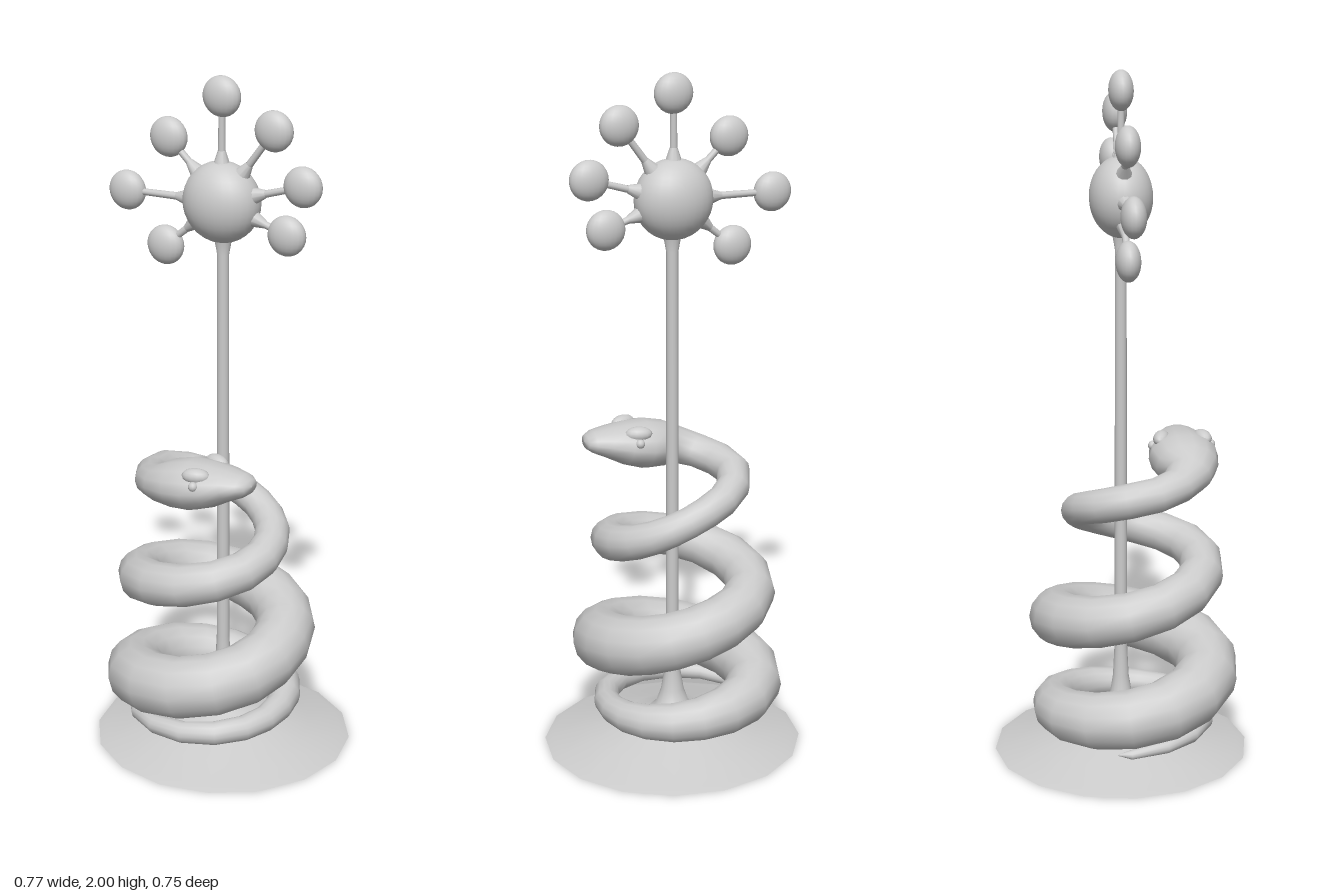
import * as THREE from 'three';

const material = new THREE.MeshStandardMaterial({ color: 0xcccccc, side: THREE.DoubleSide });
const V = (x, y, z) => new THREE.Vector3(x, y, z);

function part(name, geometry, x = 0, y = 0, z = 0) {
  const mesh = new THREE.Mesh(geometry, material);
  mesh.name = name;
  mesh.position.set(x, y, z);
  return mesh;
}

// Skin over oval rings; each row is [x, y, z, half width, half height].
function loft(rows, sides = 14) {
  const positions = [], index = [];
  const centre = (i) => V(...rows[Math.min(Math.max(i, 0), rows.length - 1)].slice(0, 3));
  rows.forEach(([, , , w, h], i) => {
    const tangent = centre(i + 1).sub(centre(i - 1)).normalize();
    const side = V(0, 1, 0).cross(tangent).normalize();
    const up = tangent.clone().cross(side);
    for (let k = 0; k < sides; k++) {
      const a = (k / sides) * Math.PI * 2;
      const p = centre(i).addScaledVector(side, w * Math.cos(a)).addScaledVector(up, h * Math.sin(a));
      positions.push(p.x, p.y, p.z);
      if (i === rows.length - 1) continue;
      const n = (k + 1) % sides, r0 = i * sides, r1 = r0 + sides;
      index.push(r0 + k, r0 + n, r1 + k, r0 + n, r1 + n, r1 + k);
    }
  });
  const geometry = new THREE.BufferGeometry();
  geometry.setAttribute('position', new THREE.Float32BufferAttribute(positions, 3));
  geometry.setIndex(index);
  geometry.computeVertexNormals();
  return geometry;
}

// Rod from a to b, thicker at a.
function rod(name, a, b, ra, rb) {
  const dir = b.clone().sub(a);
  const mid = a.clone().add(b).multiplyScalar(0.5);
  const mesh = part(name, new THREE.CylinderGeometry(rb, ra, dir.length(), 10, 1, true), mid.x, mid.y, mid.z);
  mesh.quaternion.setFromUnitVectors(V(0, 1, 0), dir.normalize());
  return mesh;
}

function createStand() {
  const group = new THREE.Group();
  group.name = 'stand';
  // flared foot running up into the pole
  const profile = [[0.384, 0], [0.36, 0.008], [0.26, 0.035], [0.14, 0.075], [0.075, 0.092],
    [0.05, 0.115], [0.034, 0.16], [0.024, 0.22], [0.019, 0.32], [0.017, 1.5], [0.026, 1.55]];
  const foot = part('footAndPole', new THREE.LatheGeometry(profile.map((p) => new THREE.Vector2(...p)), 16), -0.002);
  foot.scale.z = 0.977;
  const underside = part('underside', new THREE.CircleGeometry(0.384, 16), -0.002);
  underside.rotation.x = Math.PI / 2;
  underside.scale.y = 0.977;
  group.add(foot, underside);
  return group;
}

function createFinial() {
  const group = new THREE.Group();
  group.name = 'finial';
  const hub = V(-0.006, 1.65, 0);
  const ball = part('hub', new THREE.SphereGeometry(0.115, 28, 18), hub.x, hub.y, hub.z);
  ball.scale.z = 0.78;
  group.add(ball);
  const tips = [[-0.006, 1.945], [0.156, 1.867], [0.246, 1.724], [0.198, 1.581],
    [-0.188, 1.502], [-0.312, 1.645], [-0.175, 1.814]];
  for (const [x, y] of tips) {
    const tip = V(x, y, 0);
    const dir = tip.clone().sub(hub).normalize();
    const at = (d) => hub.clone().addScaledVector(dir, d);
    group.add(rod('spoke', at(0.1), tip, 0.011, 0.009), rod('spokeRoot', at(0.1), at(0.145), 0.026, 0.011));
    const bead = part('spokeBall', new THREE.SphereGeometry(0.057, 20, 14), x, y, 0);
    bead.scale.z = 0.62;
    group.add(bead);
  }
  return group;
}

function createSnake() {
  const group = new THREE.Group();
  group.name = 'snake';
  // coil stations every quarter turn, neck to tail: distance from pole, height, thickness
  const coil = new THREE.CatmullRomCurve3([
    [0.198, 0.82, 0.05], [0.128, 0.735, 0.046], [0.155, 0.65, 0.053], [0.235, 0.578, 0.062],
    [0.243, 0.49, 0.071], [0.188, 0.412, 0.082], [0.19, 0.34, 0.089], [0.255, 0.26, 0.091],
    [0.258, 0.185, 0.086], [0.198, 0.145, 0.063], [0.185, 0.123, 0.042], [0.244, 0.108, 0.032],
    [0.278, 0.085, 0.014]].map((p) => V(...p)));
  const steps = 48;
  const rows = [[-0.27, 0.082, -0.04, 0.001, 0.001]];
  for (let i = steps; i >= 0; i--) {
    const s = coil.getPoint(i / steps);
    const a = Math.PI + (i * Math.PI) / 8;
    rows.push([s.x * Math.cos(a), s.y, s.x * Math.sin(a), s.z, s.z]);
  }
  // neck, wedge-shaped head and snout
  rows.push(
    [-0.187, 0.832, 0.082, 0.053, 0.05], [-0.148, 0.845, 0.145, 0.056, 0.05],
    [-0.095, 0.86, 0.185, 0.066, 0.055], [-0.045, 0.871, 0.188, 0.09, 0.068],
    [0.015, 0.88, 0.185, 0.102, 0.073], [0.075, 0.889, 0.185, 0.093, 0.062],
    [0.13, 0.9, 0.185, 0.072, 0.045], [0.172, 0.905, 0.187, 0.053, 0.032],
    [0.191, 0.906, 0.188, 0.036, 0.02], [0.196, 0.907, 0.188, 0.001, 0.001]);
  group.add(part('body', loft(rows)));

  // eyes under brow ridges
  for (const s of [-1, 1]) {
    const brow = part('brow', new THREE.SphereGeometry(0.03, 14, 10), 0.05, 0.93, 0.185 + s * 0.06);
    brow.scale.set(1.35, 0.75, 0.8);
    brow.rotation.y = s * 0.3;
    group.add(brow, part('eye', new THREE.SphereGeometry(0.014, 12, 8), 0.055, 0.908, 0.185 + s * 0.085));
  }
  return group;
}

export function createModel() {
  const model = new THREE.Group();
  model.name = 'snakeStaff';
  model.add(createStand(), createFinial(), createSnake());
  return model;
}
